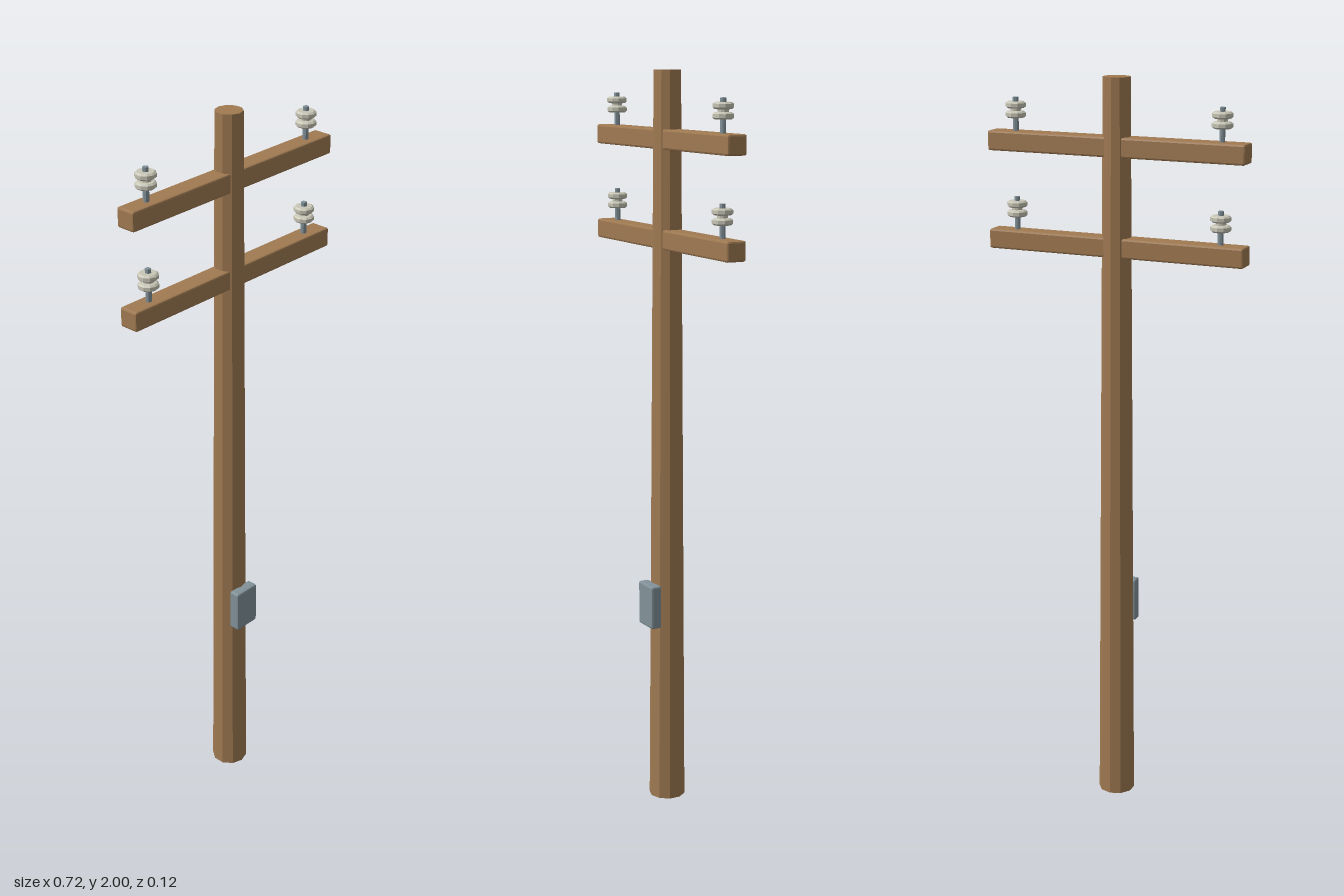
import * as THREE from 'three';
import { RoundedBoxGeometry } from 'three/addons/geometries/RoundedBoxGeometry.js';

const AXIS_Z = -0.01; // the pole stands slightly behind centre, balancing the box

const material = (name, color) => {
  const m = new THREE.MeshStandardMaterial({ color, flatShading: true });
  m.name = name;
  return m;
};

export function createModel() {
  const wood = material('wood', 0xa07a52);
  const metal = material('metal', 0x82929a);
  const ceramic = material('ceramic', 0xc8c6b6);

  const model = new THREE.Group();
  model.name = 'utilityPole';

  const add = (parent, name, geometry, mat, x, y, z) => {
    const mesh = new THREE.Mesh(geometry, mat);
    mesh.name = name;
    mesh.position.set(x, y, z);
    parent.add(mesh);
    return mesh;
  };

  // Box with a single flat chamfer along its edges
  const chamferedBox = (w, h, d, r) => {
    const g = new RoundedBoxGeometry(w, h, d, 1, r);
    g.computeVertexNormals();
    return g;
  };

  // Tapered ten-sided pole
  add(model, 'pole', new THREE.CylinderGeometry(0.036, 0.0495, 2, 10), wood, 0, 1, AXIS_Z);

  // Service box on the front
  add(model, 'serviceBox', chamferedBox(0.078, 0.12, 0.031, 0.005), metal, 0, 0.562, 0.043);

  // Insulator: two ceramic discs joined by a narrow waist
  const profile = [
    [0, 0], [0.022, 0], [0.027, 0.004], [0.027, 0.013], [0.022, 0.017],
    [0.014, 0.018], [0.014, 0.024],
    [0.022, 0.025], [0.027, 0.029], [0.027, 0.038], [0.022, 0.042], [0, 0.042],
  ].map(([r, y]) => new THREE.Vector2(r, y));
  const insulatorGeometry = new THREE.LatheGeometry(profile, 10);
  const pinGeometry = new THREE.CylinderGeometry(0.0078, 0.0078, 0.098, 8);
  const armGeometry = chamferedBox(0.718, 0.052, 0.055, 0.005);

  // Two crossarms, each with a pin and an insulator near both ends
  [['lower', 1.563], ['upper', 1.823]].forEach(([level, y]) => {
    const arm = new THREE.Group();
    arm.name = `${level}CrossarmAssembly`;
    arm.position.set(0, y, AXIS_Z);
    model.add(arm);
    add(arm, 'crossarm', armGeometry, wood, 0, 0, 0);
    for (const [side, s] of [['left', 1], ['right', -1]]) {
      add(arm, `${side}Pin`, pinGeometry, metal, s * 0.288, 0.064, 0);
      add(arm, `${side}Insulator`, insulatorGeometry, ceramic, s * 0.288, 0.06, 0);
    }
  });

  return model;
}
